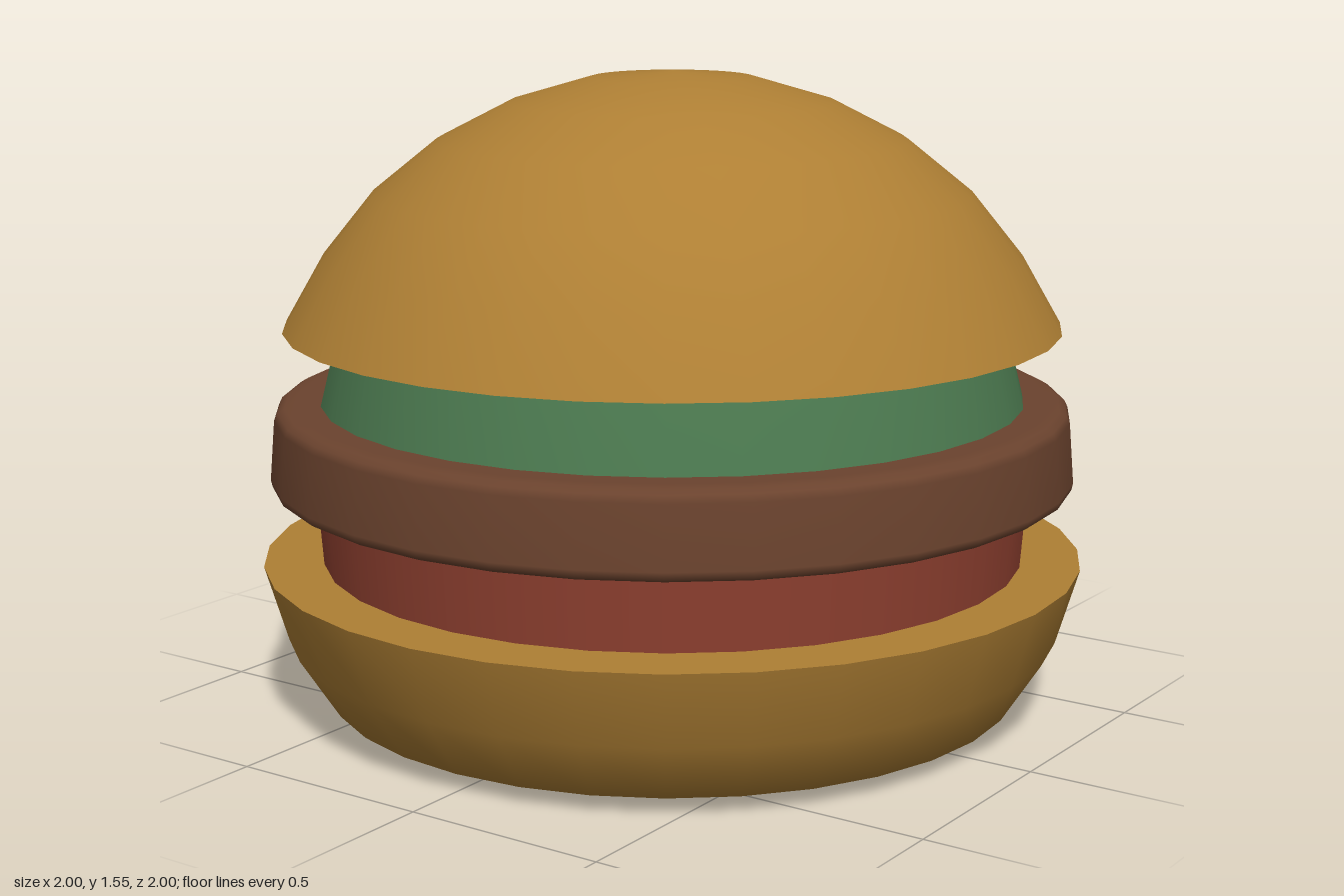
import * as THREE from 'three';

const SEGMENTS = 32;
const BUN = 0xae7f34, LETTUCE = 0x4c7a50, PATTY = 0x6b432e, TOMATO = 0x8f4030;

// Layer made of lathed profiles ([radius, height], listed from underside to top).
// Separate profiles keep a sharp edge where they meet.
function layer(name, color, ...profiles) {
  const material = new THREE.MeshStandardMaterial({ color, roughness: 0.8 });
  const group = new THREE.Group();
  group.name = name;
  for (const profile of profiles) {
    const points = profile.map(([r, y]) => new THREE.Vector2(r, y));
    const mesh = new THREE.Mesh(new THREE.LatheGeometry(points, SEGMENTS), material);
    mesh.name = name + 'Surface';
    group.add(mesh);
  }
  return group;
}

export function createModel() {
  const model = new THREE.Group();
  model.name = 'burger';
  model.add(
    // Bottom bun: slightly bulging base, flared side, flat top
    layer('bottomBun', BUN,
      [[0, 0], [0.4, 0.01], [0.57, 0.04], [0.85, 0.042], [0.945, 0.19], [1, 0.375]],
      [[1, 0.375], [0, 0.375]]),
    // Tomato slice
    layer('tomato', TOMATO, [[0.855, 0.37], [0.87, 0.57]]),
    // Patty with rounded rims
    layer('patty', PATTY,
      [[0, 0.562], [0.93, 0.562], [0.96, 0.565], [0.973, 0.573], [0.977, 0.59],
        [0.965, 0.735], [0.957, 0.752], [0.94, 0.762], [0.91, 0.765], [0, 0.765]]),
    // Lettuce layer narrowing upward
    layer('lettuce', LETTUCE, [[0.855, 0.76], [0.83, 0.86], [0.805, 0.945]]),
    // Top bun: flat underside and dome
    layer('topBun', BUN,
      [[0, 0.94], [0.94, 0.945]],
      [[0.94, 0.945], [0.845, 1.11], [0.72, 1.265], [0.565, 1.39],
        [0.39, 1.48], [0.197, 1.537], [0, 1.553]]),
  );
  return model;
}
